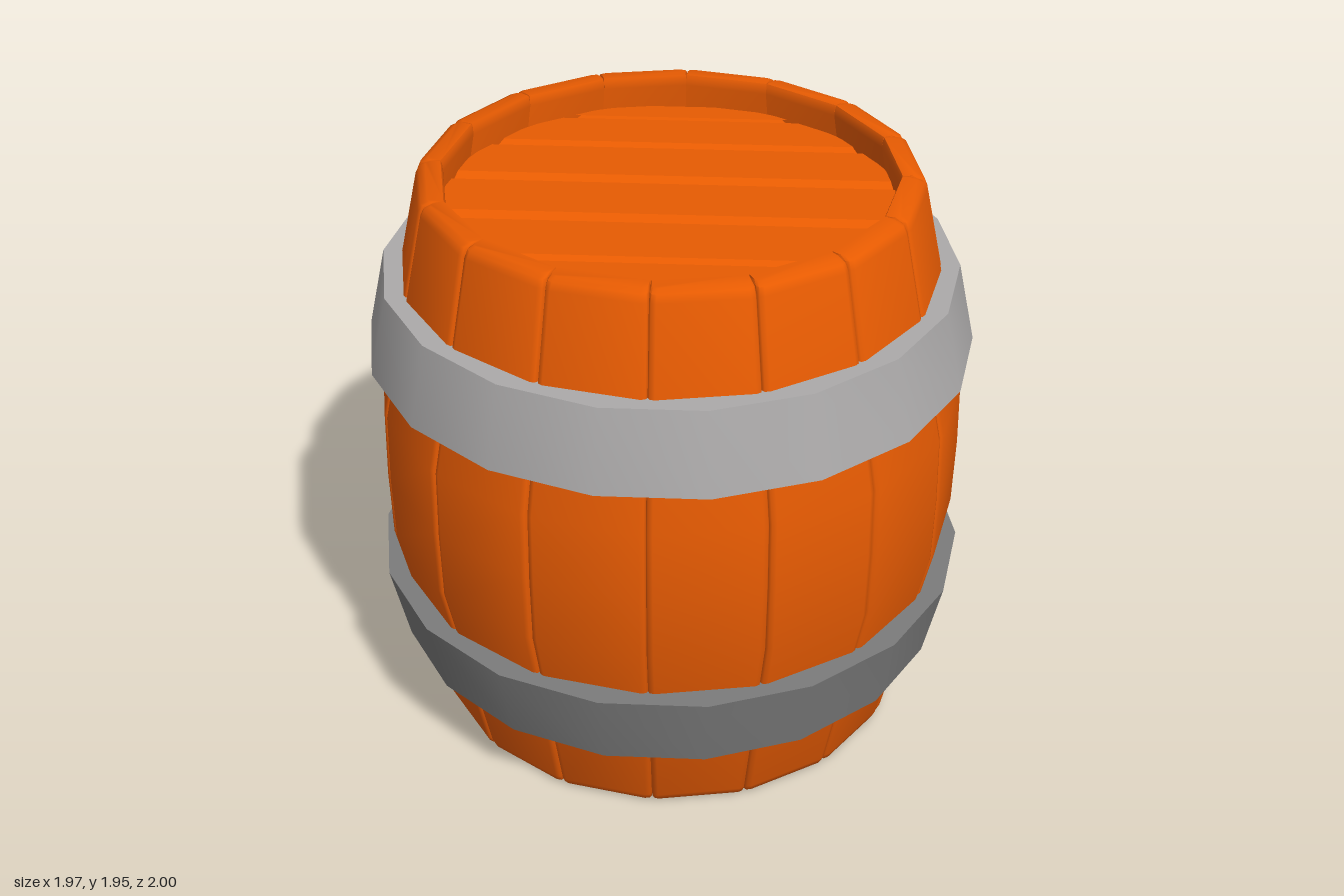
import * as THREE from 'three';
import { toCreasedNormals } from 'three/addons/utils/BufferGeometryUtils.js';

const STAVES = 16;
const HEIGHT = 1.95;

const mat = (name, color) => {
  const m = new THREE.MeshStandardMaterial({ color });
  m.name = name;
  return m;
};

// Stave: bevelled wedge cross-sections stacked up a bulging profile
function staveGeometry() {
  // [height, outer radius, inner radius, inset of the end bevel]
  const rings = [
    [0, 0.803, 0.715, 0.032], [0.01, 0.803, 0.715, 0.011], [0.035, 0.803, 0.715, 0],
    [0.74, 0.955, 0.85, 0], [0.975, 0.96, 0.86, 0], [1.21, 0.955, 0.85, 0],
    [HEIGHT - 0.035, 0.803, 0.715, 0], [HEIGHT - 0.01, 0.803, 0.715, 0.011], [HEIGHT, 0.803, 0.715, 0.032],
  ];
  const t = Math.tan(Math.PI / STAVES);
  const pos = [], idx = [];
  const n = 8;
  for (const [y, ro, ri, inset] of rings) {
    const o = ro - inset, i = ri + inset * 0.2, b = 0.018;
    const wo = o * t - inset * 0.15, wi = i * t - inset * 0.05;
    const half = [[wi, i], [wo - b * 0.2, o - b], [wo - b * 0.4, o - b * 0.35], [wo - b * 1.2, o]];
    const loop = [...half, ...half.slice().reverse().map(([x, z]) => [-x, z])];
    for (const [x, z] of loop) pos.push(x, y, z);
  }
  for (let r = 0; r < rings.length - 1; r++) {
    for (let i = 0; i < n; i++) {
      const a = r * n + i, b = r * n + (i + 1) % n;
      idx.push(a, a + n, b, b, a + n, b + n);
    }
  }
  // end caps
  const top = (rings.length - 1) * n;
  for (let i = 1; i < n - 1; i++) {
    idx.push(0, i, i + 1);
    idx.push(top, top + i + 1, top + i);
  }
  const g = new THREE.BufferGeometry();
  g.setAttribute('position', new THREE.Float32BufferAttribute(pos, 3));
  g.setIndex(idx);
  return toCreasedNormals(g, 0.9);
}

// Lid plank: strip of a disc between two chords, with chamfered edges
function plankGeometry(v0, v1, radius) {
  const a0 = Math.asin(v0 / radius), a1 = Math.asin(v1 / radius);
  const pts = [];
  const steps = 8;
  for (let i = 0; i <= steps; i++) {
    const a = a0 + (a1 - a0) * i / steps;
    pts.push(new THREE.Vector2(radius * Math.cos(a), radius * Math.sin(a)));
  }
  for (let i = steps; i >= 0; i--) pts.push(new THREE.Vector2(-pts[i].x, pts[i].y));
  const g = new THREE.ExtrudeGeometry(new THREE.Shape(pts), {
    depth: 0.03, bevelEnabled: true, bevelSegments: 1,
    bevelSize: 0.032, bevelThickness: 0.016, bevelOffset: -0.032,
  });
  return g.rotateX(-Math.PI / 2);
}

// Hoop: closed tapered ring
function hoopGeometry(y0, y1, r0, r1, i0, i1) {
  const p = [[r0, y0], [r1, y1], [i1, y1], [i0, y0], [r0, y0]].map(([x, y]) => new THREE.Vector2(x, y));
  return toCreasedNormals(new THREE.LatheGeometry(p, 18), 0.6);
}

export function createModel() {
  const wood = mat('orange wood', 0xec5d02);
  const lightMetal = mat('light grey metal', 0xacaaaa);
  const darkMetal = mat('dark grey metal', 0x7c7c7c);
  const base = mat('pale olive base', 0xd8ca8f);
  const model = new THREE.Group();
  model.name = 'barrel';
  const add = (name, geo, material, parent = model) => {
    const m = new THREE.Mesh(geo, material);
    m.name = name;
    parent.add(m);
    return m;
  };

  // ring of staves
  const staves = new THREE.Group();
  staves.name = 'staves';
  model.add(staves);
  const stave = staveGeometry();
  for (let i = 0; i < STAVES; i++) {
    add('stave', stave, wood, staves).rotation.y = i * Math.PI * 2 / STAVES;
  }

  // lid of slanted planks, set below the rim
  const lid = new THREE.Group();
  lid.name = 'lid';
  lid.position.y = 1.79;
  lid.rotation.y = -0.178;
  model.add(lid);
  const cuts = [-0.755, -0.615, -0.415, -0.13, 0.15, 0.415, 0.64, 0.755];
  for (let i = 0; i < cuts.length - 1; i++) {
    add('lidPlank', plankGeometry(cuts[i], cuts[i + 1], 0.77), wood, lid);
  }

  // recessed bottom, facing down
  const bottom = add('bottom', new THREE.CircleGeometry(0.77, 32), base);
  bottom.rotation.x = Math.PI / 2;
  bottom.position.y = 0.2;

  // metal hoops, widest towards the middle
  add('upperHoop', hoopGeometry(1.36, 1.63, 1, 0.94, 0.91, 0.86), lightMetal);
  add('lowerHoop', hoopGeometry(0.3, 0.57, 0.94, 1, 0.86, 0.91), darkMetal);
  return model;
}
